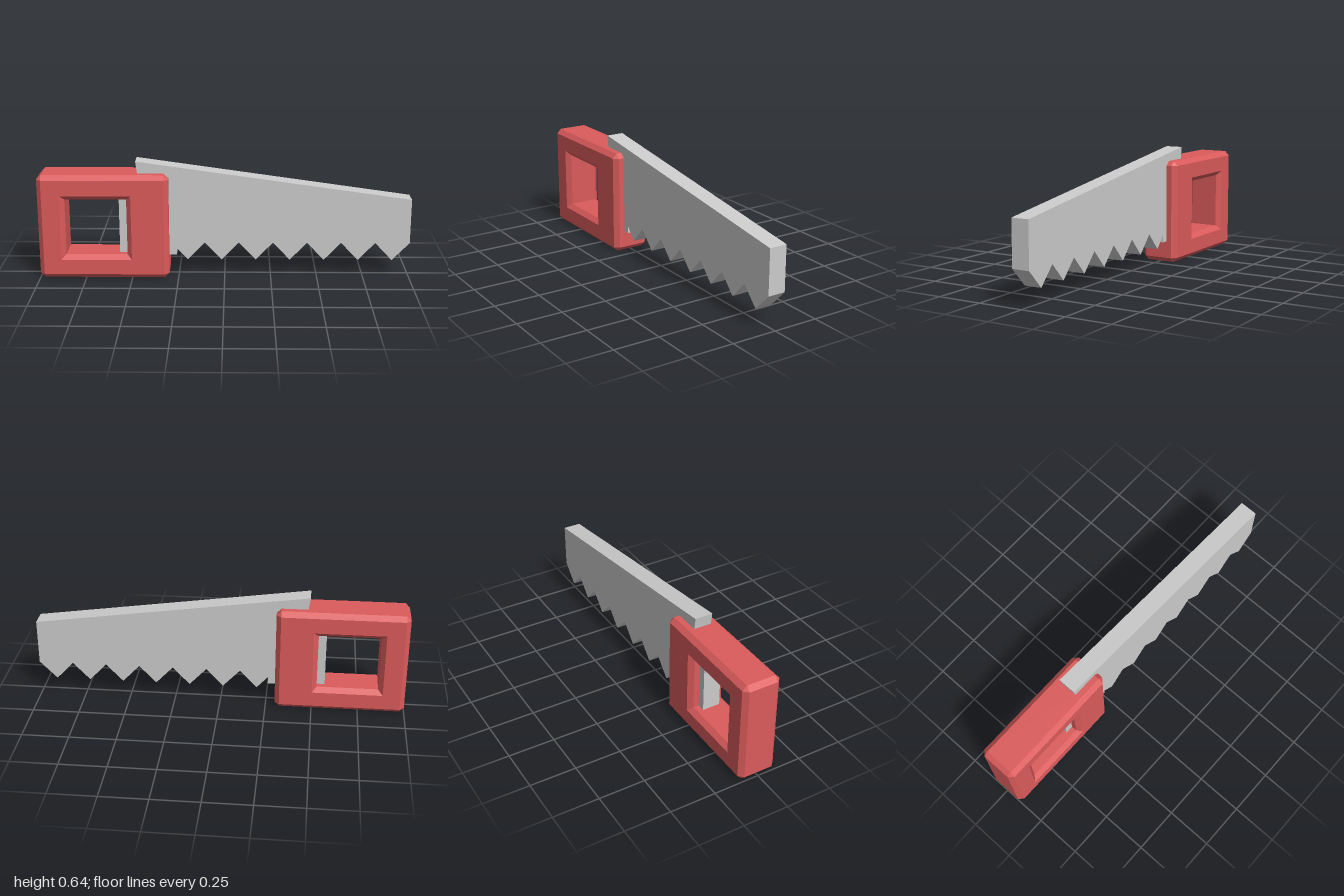
import * as THREE from 'three';

// Rectangle as an 8-point loop; c cuts the corners (c = 0 doubles each corner point)
function rectLoop(x0, x1, y0, y1, c, z) {
  return [
    [x0 + c, y0], [x1 - c, y0], [x1, y0 + c], [x1, y1 - c],
    [x1 - c, y1], [x0 + c, y1], [x0, y1 - c], [x0, y0 + c],
  ].map(([x, y]) => new THREE.Vector3(x, y, z));
}

// Closed loft through a cycle of loops, skipping collapsed triangles
function loftCycle(loops) {
  const points = [];
  const triangle = (a, b, c) => {
    const area = b.clone().sub(a).cross(c.clone().sub(a)).length();
    if (area > 1e-8) points.push(a, b, c);
  };
  loops.forEach((loop, i) => {
    const next = loops[(i + 1) % loops.length];
    loop.forEach((p, j) => {
      const k = (j + 1) % loop.length;
      triangle(p, next[j], next[k]);
      triangle(p, next[k], loop[k]);
    });
  });
  const geometry = new THREE.BufferGeometry().setFromPoints(points);
  geometry.computeVertexNormals();
  return geometry;
}

// Chamfered block with a chamfered square grip hole
function createHandle() {
  const b = 0.025, zFace = 0.105, zSide = zFace - b;
  const [x0, x1, y0, y1] = [-1, -0.3, 0.002, 0.577];
  const [hx0, hx1, hy0, hy1] = [-0.855, -0.525, 0.134, 0.442];
  const side = (z) => rectLoop(x0, x1, y0, y1, b, z);
  const face = (z) => rectLoop(x0 + b, x1 - b, y0 + b, y1 - b, 0, z);
  const holeRim = (z) => rectLoop(hx0 - b, hx1 + b, hy0 - b, hy1 + b, 0, z);
  const holeWall = (z) => rectLoop(hx0, hx1, hy0, hy1, 0, z);
  // From the hole, over the front face, round the outside and over the back
  const geometry = loftCycle([
    holeWall(zSide), holeRim(zFace), face(zFace), side(zSide),
    side(-zSide), face(-zFace), holeRim(-zFace), holeWall(-zSide),
  ]);
  const material = new THREE.MeshStandardMaterial({ color: 0xdb5b5b, flatShading: true });
  const mesh = new THREE.Mesh(geometry, material);
  mesh.name = 'handle';
  return mesh;
}

// Tapered slab with a saw-tooth lower edge and a tang inside the handle
function createBlade() {
  const depth = 0.098, teeth = 7, pitch = 0.1843, firstTip = -0.2;
  const shape = new THREE.Shape();
  shape.moveTo(-0.475, 0.643);
  shape.lineTo(-0.455, 0.5);
  shape.lineTo(-0.568, 0.5);
  shape.lineTo(-0.568, 0.122);
  shape.lineTo(-0.26, 0.122);
  shape.lineTo(-0.26, 0.16);
  for (let i = 0; i < teeth; i++) {
    const tip = firstTip + i * pitch;
    shape.lineTo(tip, 0.094);
    shape.lineTo(i === teeth - 1 ? 1 : tip + pitch / 2, 0.192);
  }
  shape.lineTo(1, 0.436);
  shape.closePath();
  const geometry = new THREE.ExtrudeGeometry(shape, { depth, bevelEnabled: false });
  geometry.translate(0, 0, -depth / 2);
  const material = new THREE.MeshStandardMaterial({ color: 0xcccccc, flatShading: true });
  const mesh = new THREE.Mesh(geometry, material);
  mesh.name = 'blade';
  return mesh;
}

export function createModel() {
  const group = new THREE.Group();
  group.name = 'handSaw';
  group.add(createHandle(), createBlade());
  return group;
}
